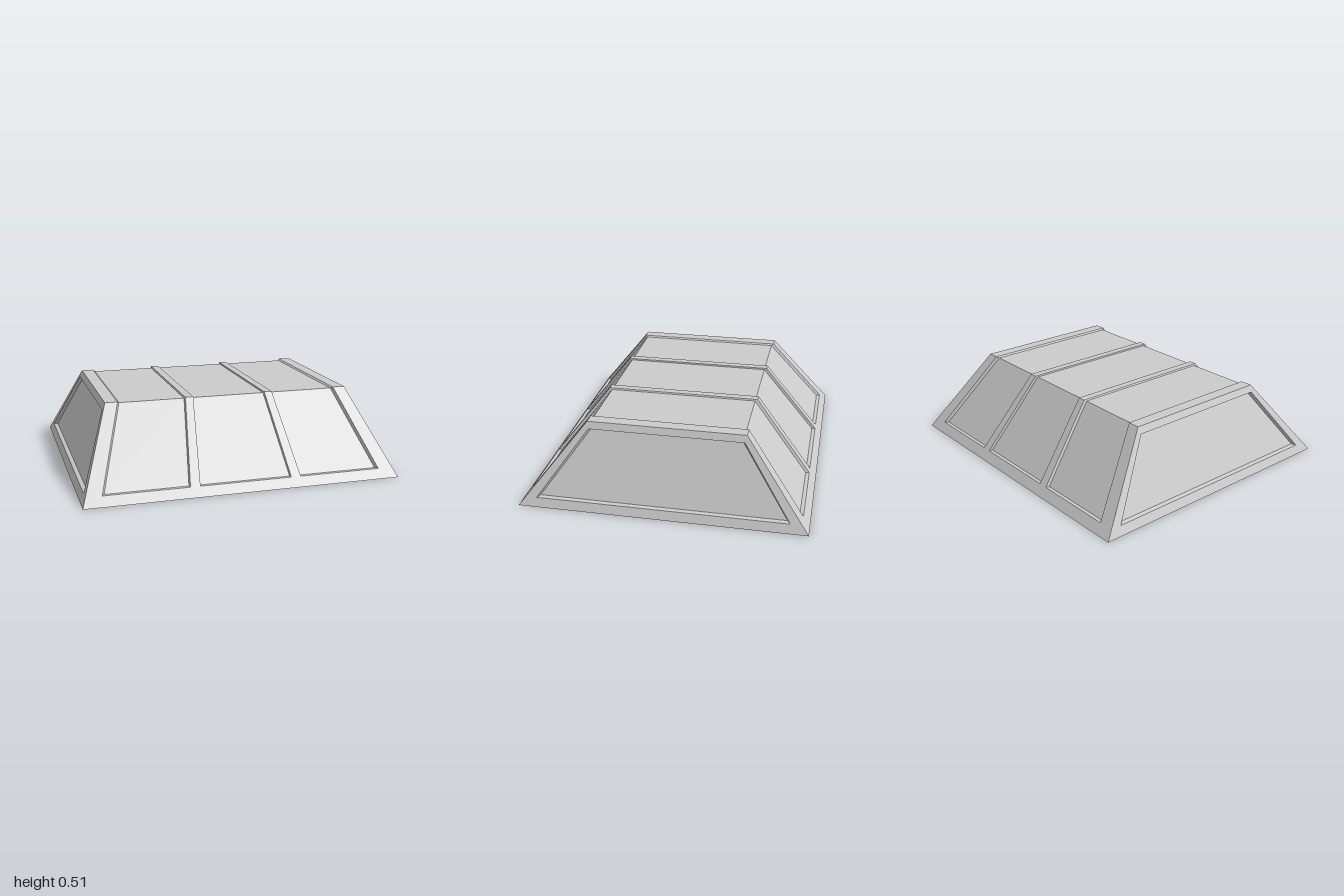
import * as THREE from 'three';

const H = 0.515;                                   // overall height
const lerp = THREE.MathUtils.lerp;
const sideX = (y) => lerp(1, 0.79, y / H);         // sloping end faces

// Mesh from quads, each four corners counter-clockwise from outside
function quadMesh(name, quads) {
  const pos = [];
  const tri = (a, b, c) => {
    const u = new THREE.Vector3(...b).sub(new THREE.Vector3(...a));
    const v = new THREE.Vector3(...c).sub(new THREE.Vector3(...a));
    if (u.cross(v).length() > 1e-8) pos.push(...a, ...b, ...c);
  };
  for (const [a, b, c, d] of quads) {
    tri(a, b, c);
    tri(a, c, d);
  }
  const geo = new THREE.BufferGeometry();
  geo.setAttribute('position', new THREE.Float32BufferAttribute(pos, 3));
  geo.computeVertexNormals();
  const mesh = new THREE.Mesh(geo, new THREE.MeshStandardMaterial({ color: 0xcccccc, flatShading: true }));
  mesh.name = name;
  return mesh;
}

// Bands between successive four-cornered loops, closed by the last loop
function nestedLoops(loops) {
  const quads = [];
  for (let k = 0; k < loops.length - 1; k++) {
    for (let i = 0; i < 4; i++) {
      const j = (i + 1) % 4;
      quads.push([loops[k][i], loops[k][j], loops[k + 1][j], loops[k + 1][i]]);
    }
  }
  quads.push(loops[loops.length - 1]);
  return quads;
}

// Front, roof and back in one skin: raised ribs and sunken panels
function ribbedSkin() {
  // Columns across half the width: [x at base, x at roof, sunken]
  const half = [
    [0.293, 0.231, 1], [0.297, 0.235, 0], [0.36, 0.285, 0], [0.364, 0.289, 1],
    [0.885, 0.697, 1], [0.9, 0.712, 0], [1, 0.79, 0],
  ];
  const columns = [...half.map(([b, t, s]) => [-b, -t, s]).reverse(), ...half];

  // Stations from the front base up to the roof: raised and sunken [y, z]
  const rise = [
    { raised: [0, 0.893], sunk: [0, 0.893] },
    { raised: [0.055, 0.85], sunk: [0.055, 0.85] },
    { raised: [0.055, 0.85], sunk: [0.055, 0.827] },
    { raised: [H, 0.49], sunk: [0.506, 0.474] },
  ];
  const flip = ([y, z]) => [y, -z];
  const fall = rise.map((s) => ({ raised: flip(s.raised), sunk: flip(s.sunk) })).reverse();

  const rows = [...rise, ...fall].map((s) => columns.map(([b, t, sunken]) => {
    const [y, z] = sunken ? s.sunk : s.raised;
    return [lerp(b, t, y / H), y, z];
  }));
  const quads = [];
  for (let i = 0; i < rows.length - 1; i++) {
    for (let j = 0; j < columns.length - 1; j++) {
      quads.push([rows[i][j], rows[i][j + 1], rows[i + 1][j + 1], rows[i + 1][j]]);
    }
  }
  return quadMesh('ribbedFrontRoofAndBack', quads);
}

// Sloping end with one recessed trapezoid panel
function endWall(name) {
  const loop = (y0, z0, y1, z1, depth) =>
    [[y0, z0], [y0, -z0], [y1, -z1], [y1, z1]].map(([y, z]) => [sideX(y) - depth, y, z]);
  return quadMesh(name, nestedLoops([
    loop(0, 0.893, H, 0.49, 0),
    loop(0.055, 0.78, 0.472, 0.48, 0),
    loop(0.061, 0.762, 0.465, 0.468, 0.023),
  ]));
}

// Bottom rim and hollow interior
function hollowUnderside() {
  const loop = (x, y, z) => [[-x, y, -z], [x, y, -z], [x, y, z], [-x, y, z]];
  return quadMesh('hollowUnderside', nestedLoops([
    loop(1, 0, 0.893),
    loop(0.88, 0, 0.79),
    loop(0.715, 0.415, 0.465),
  ]));
}

export function createModel() {
  const group = new THREE.Group();
  group.name = 'hollowPanelledBlock';
  const right = endWall('rightEndWall');
  right.rotation.y = Math.PI;
  group.add(ribbedSkin(), endWall('leftEndWall'), right, hollowUnderside());
  return group;
}
